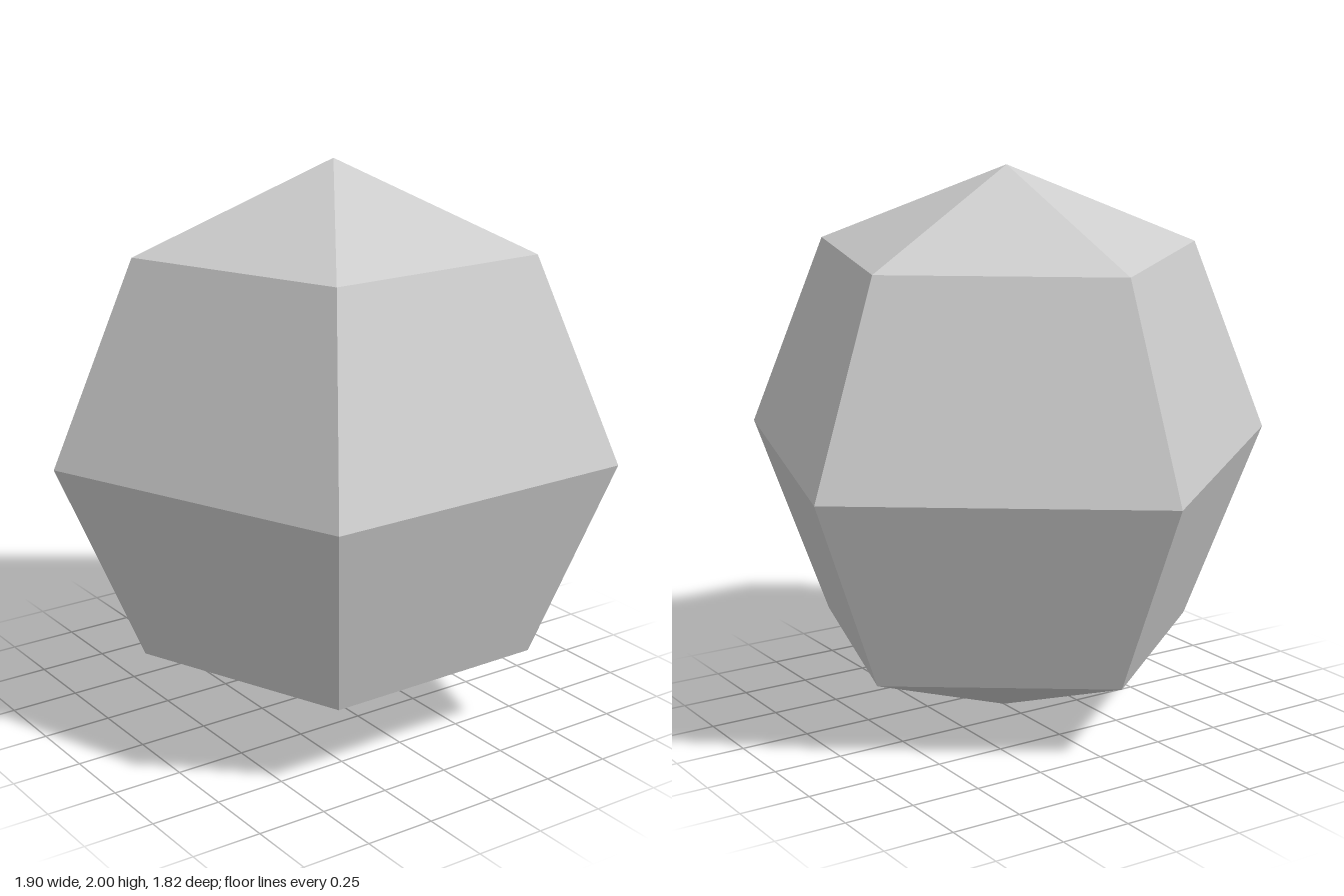
import * as THREE from 'three';

// Low-poly boulder: a five-sided, four-band faceted ball on a slightly tilted axis.
export function createModel() {
  const group = new THREE.Group();
  group.name = 'facetedBall';

  const lightGrey = new THREE.MeshStandardMaterial({ color: 0xcccccc, flatShading: true });
  lightGrey.name = 'light grey';

  // Phi start turns one flat side towards the front
  const geometry = new THREE.SphereGeometry(1, 5, 4, -0.288, Math.PI * 2).toNonIndexed();
  geometry.computeVertexNormals();

  const ball = new THREE.Mesh(geometry, lightGrey);
  ball.name = 'ball';
  ball.rotation.set(-0.0275, 0, -0.01);
  ball.position.set(0.01, 1, 0.0875);
  group.add(ball);

  return group;
}
